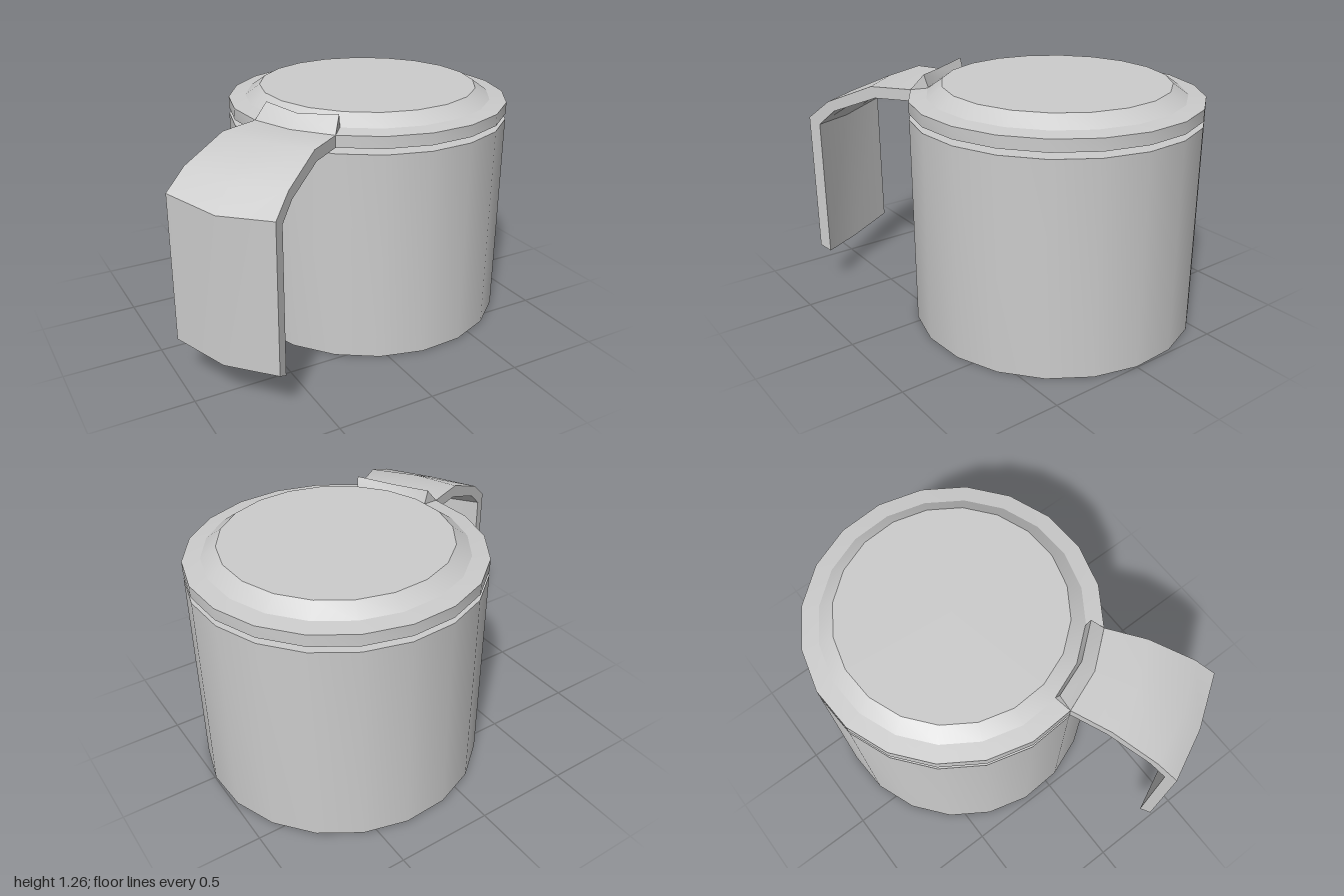
import * as THREE from 'three';
import { toCreasedNormals } from 'three/addons/utils/BufferGeometryUtils.js';

const material = new THREE.MeshStandardMaterial({ color: 0xcccccc });
const CREASE = 0.45;
const SIDES = 20;
const RIM = 0.738;

function addMesh(parent, name, geometry) {
  const mesh = new THREE.Mesh(toCreasedNormals(geometry, CREASE), material);
  mesh.name = name;
  parent.add(mesh);
}

// Turned part from [radius, height] pairs, bottom to top
function turned(profile) {
  const points = profile.map(([r, y]) => new THREE.Vector2(r, y));
  return new THREE.LatheGeometry(points, SIDES, THREE.MathUtils.degToRad(12));
}

// Capped solid through rings of points; rings run counterclockwise about the travel direction
function loft(rings) {
  const n = rings[0].length;
  const last = (rings.length - 1) * n;
  const index = [];
  for (let i = 0; i < rings.length - 1; i++) {
    for (let j = 0; j < n; j++) {
      const k = (j + 1) % n;
      const a = i * n + j, b = i * n + k;
      index.push(a, b, b + n, a, b + n, a + n);
    }
  }
  for (let s = 2; s < n; s++) {
    const p = s, q = (s + 1) % n;
    index.push(1, q, p, last + 1, last + p, last + q);
  }
  const geometry = new THREE.BufferGeometry();
  geometry.setAttribute('position', new THREE.Float32BufferAttribute(rings.flat(2), 3));
  geometry.setIndex(index);
  return geometry;
}

// Flared strap: each station gives outer and inner [reach, height], and the middle's shift
function handleGeometry() {
  const stations = [
    { outer: [0.702, 1.18], inner: [0.702, 1.12], shift: [0.036, 0] },
    { outer: [0.92, 1.18], inner: [0.90, 1.12], shift: [0.035, 0] },
    { outer: [1.17, 1.08], inner: [1.14, 1.03], shift: [0.033, -0.01] },
    { outer: [1.287, 0.985], inner: [1.23, 0.95], shift: [0.027, -0.03] },
    { outer: [1.287, 0.235], inner: [1.23, 0.205], shift: [0.027, -0.03] },
  ];
  const halfWidth = (u) => 0.228 + (u - 0.702) * 0.118;
  return loft(stations.map(({ outer: [ou, oy], inner: [iu, iy], shift: [du, dy] }) => [
    [ou, oy, -halfWidth(ou)], [ou + du, oy + dy, 0], [ou, oy, halfWidth(ou)],
    [iu, iy, halfWidth(iu)], [iu + du, iy + dy, 0], [iu, iy, -halfWidth(iu)],
  ]));
}

// Raised wedge along the lid edge, dipping in the middle
function tabGeometry() {
  return loft([-1, 0, 1].map((side) => {
    const angle = THREE.MathUtils.degToRad(18 * side);
    const peak = side === 0 ? 1.24 : 1.26;
    return [[RIM, 1.18], [0.667, peak], [0.645, 1.19]].map(([r, y]) =>
      [r * Math.cos(angle), y, r * Math.sin(angle)]);
  }));
}

export function createModel() {
  const model = new THREE.Group();
  model.name = 'lidded jug';

  // Round vessel, off centre to leave room for the handle
  const vessel = new THREE.Group();
  vessel.name = 'vessel';
  vessel.position.set(0.262, 0, -0.08);
  model.add(vessel);

  addMesh(vessel, 'body', turned([[0, 0], [RIM, 0], [RIM, 1.09], [0.615, 1.09], [0.615, 1.12]]));
  addMesh(vessel, 'lid', turned([
    [0.615, 1.12], [RIM, 1.12], [RIM, 1.18], [0.65, 1.19], [0.573, 1.245], [0, 1.245],
  ]));

  // Handle and thumb tab, turned to the front right
  const grip = new THREE.Group();
  grip.name = 'grip';
  grip.rotation.y = THREE.MathUtils.degToRad(-150);
  vessel.add(grip);
  addMesh(grip, 'handle', handleGeometry());
  addMesh(grip, 'thumbTab', tabGeometry());

  return model;
}
